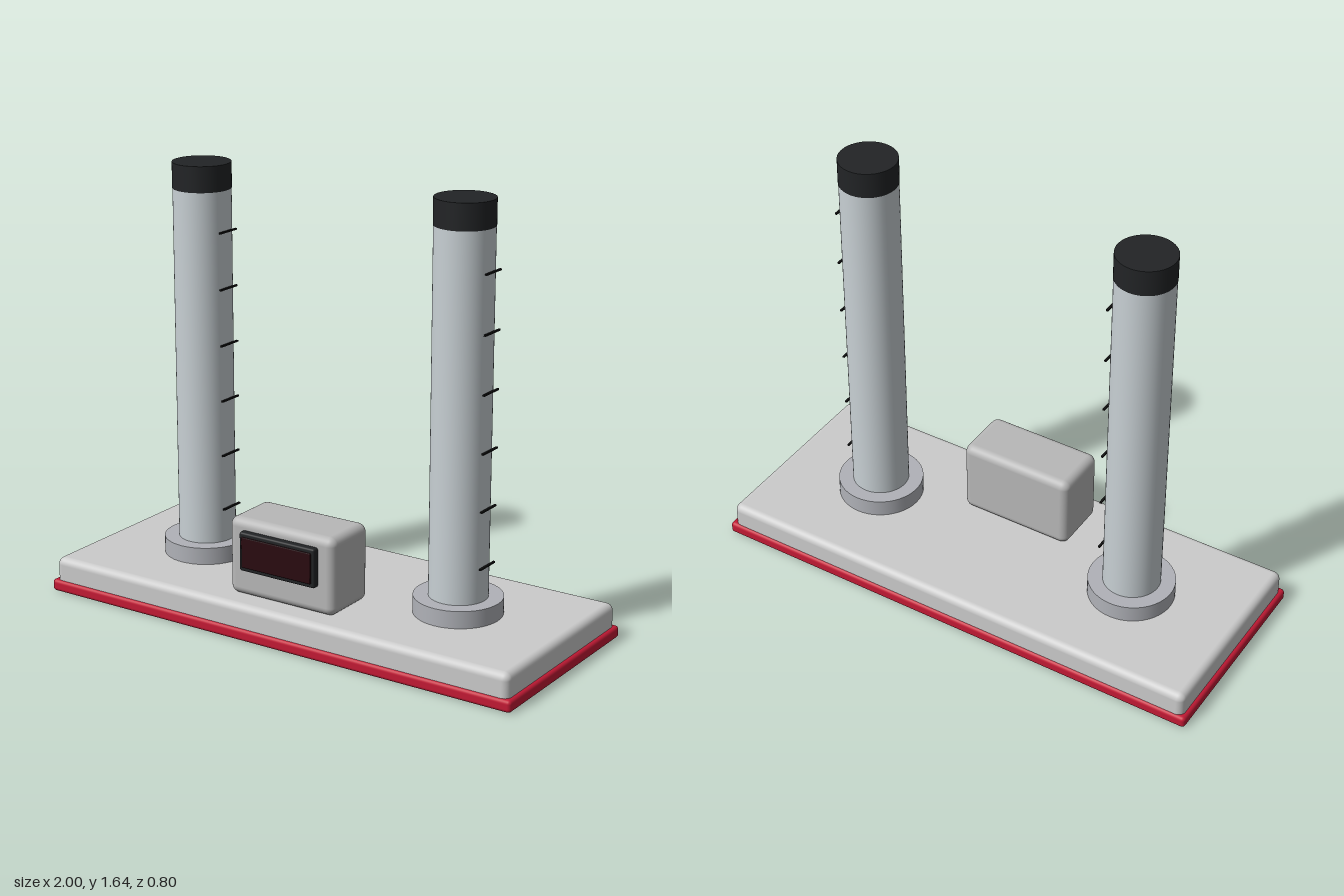
import * as THREE from 'three';
import { RoundedBoxGeometry } from 'three/addons/geometries/RoundedBoxGeometry.js';

const mat = (color) => new THREE.MeshStandardMaterial({ color });

export function createModel() {
  const model = new THREE.Group();
  model.name = 'twinTowerSensor';

  const shell = mat(0xcccccc);
  const red = mat(0xc41a35);
  const tubeGrey = mat(0xc8d0d4);
  const flangeGrey = mat(0xb0b2b8);
  const housingGrey = mat(0xb8b8b8);
  const black = mat(0x222426);
  const screenRed = mat(0x2a0a10);
  const tickBlack = mat(0x111111);

  const add = (parent, name, geometry, material, x, y, z) => {
    const mesh = new THREE.Mesh(geometry, material);
    mesh.name = name;
    mesh.position.set(x, y, z);
    parent.add(mesh);
    return mesh;
  };
  // Rounded box placed by its bottom and top heights and its back and front depths
  const block = (name, w, [y0, y1], [z0, z1], r, material) =>
    add(model, name, new RoundedBoxGeometry(w, y1 - y0, z1 - z0, 4, r), material,
      0, (y0 + y1) / 2, (z0 + z1) / 2);
  const cylinder = (parent, name, r, y0, y1, material) =>
    add(parent, name, new THREE.CylinderGeometry(r, r, y1 - y0, 48), material, 0, (y0 + y1) / 2, 0);

  // Base plate with its red bottom trim
  block('basePlate', 1.97, [0.003, 0.135], [-0.39, 0.39], 0.028, shell);
  block('baseTrim', 2, [0, 0.046], [-0.4, 0.4], 0.014, red);

  // Display unit near the front edge
  block('displayHousing', 0.456, [0.135, 0.43], [0.08, 0.31], 0.032, housingGrey);
  block('displayBezel', 0.326, [0.242, 0.39], [0.3, 0.335], 0.008, black);
  block('displayScreen', 0.3, [0.258, 0.374], [0.325, 0.341], 0.003, screenRed);

  // Two towers, each with a flange, a cap and graduation marks on the +x side
  const tickGeometry = new THREE.BoxGeometry(0.008, 0.006, 0.1);
  for (const [name, x] of [['rightTower', -0.557], ['leftTower', 0.557]]) {
    const tower = new THREE.Group();
    tower.name = name;
    tower.position.x = x;
    model.add(tower);
    cylinder(tower, 'flange', 0.163, 0.13, 0.2, flangeGrey);
    cylinder(tower, 'tube', 0.108, 0.2, 1.545, tubeGrey);
    cylinder(tower, 'cap', 0.109, 1.545, 1.642, black);
    for (let i = 0; i < 6; i++) {
      add(tower, 'graduationMark', tickGeometry, tickBlack, 0.115, 0.333 + i * 0.2125, 0);
    }
  }

  return model;
}
